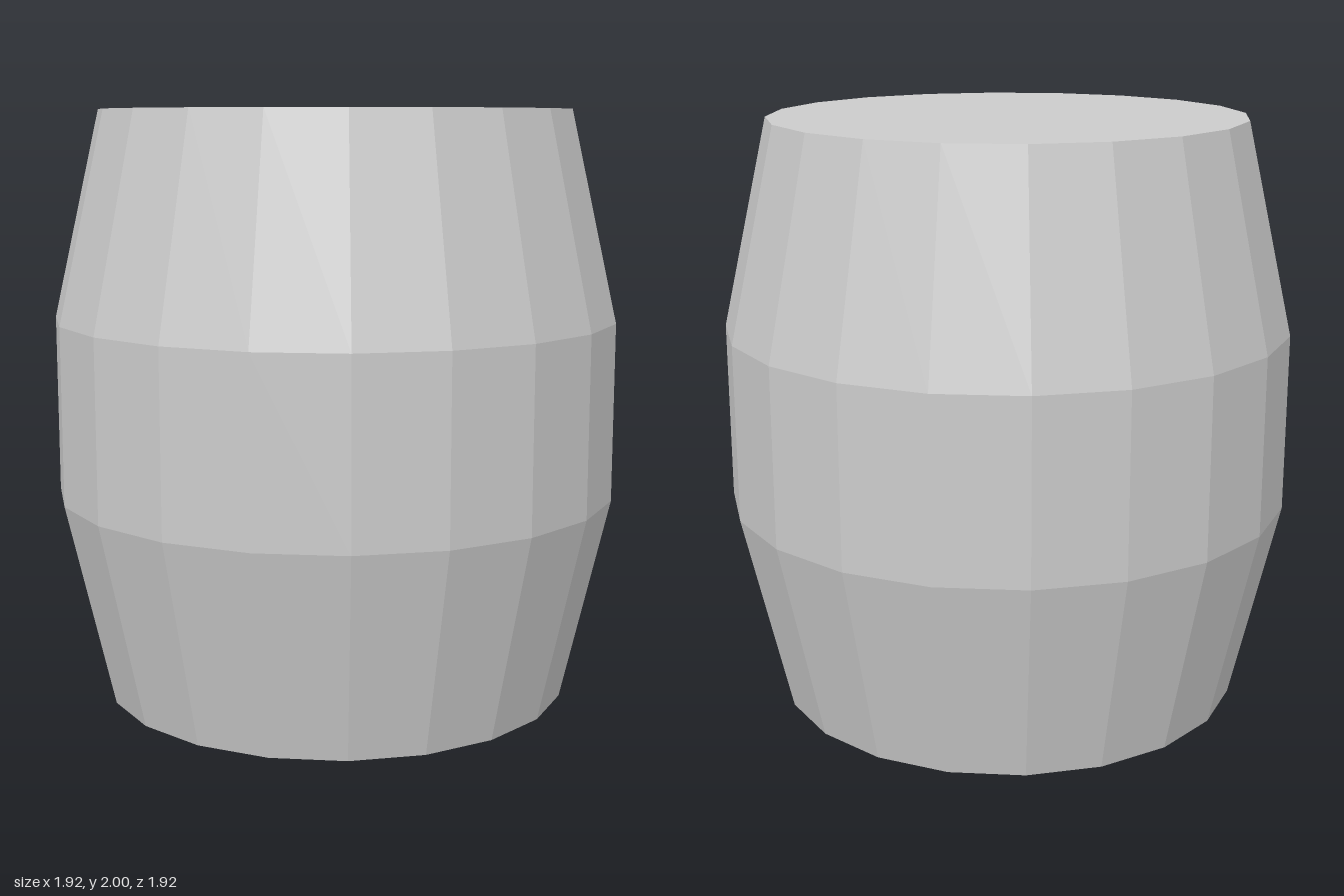
import * as THREE from 'three';

const SIDES = 20;
const END_RADIUS = 0.8;
const BELLY_RADIUS = 0.96;
const HEIGHT = 2;

export function createModel() {
  const group = new THREE.Group();
  group.name = 'barrel';
  const material = new THREE.MeshStandardMaterial({ color: 0xcccccc, flatShading: true });

  const add = (name, geometry) => {
    const mesh = new THREE.Mesh(geometry, material);
    mesh.name = name;
    group.add(mesh);
    return mesh;
  };

  // Faceted wall: tapered ends around a straight belly band
  const profile = [
    [END_RADIUS, 0],
    [BELLY_RADIUS, 0.7],
    [BELLY_RADIUS, 1.3],
    [END_RADIUS, HEIGHT],
  ].map(([r, y]) => new THREE.Vector2(r, y));
  add('staves', new THREE.LatheGeometry(profile, SIDES));

  // Flat closed ends
  const lid = add('topHead', new THREE.CircleGeometry(END_RADIUS, SIDES));
  lid.rotation.x = -Math.PI / 2;
  lid.position.y = HEIGHT;

  const base = add('bottomHead', new THREE.CircleGeometry(END_RADIUS, SIDES));
  base.rotation.x = Math.PI / 2;

  return group;
}
